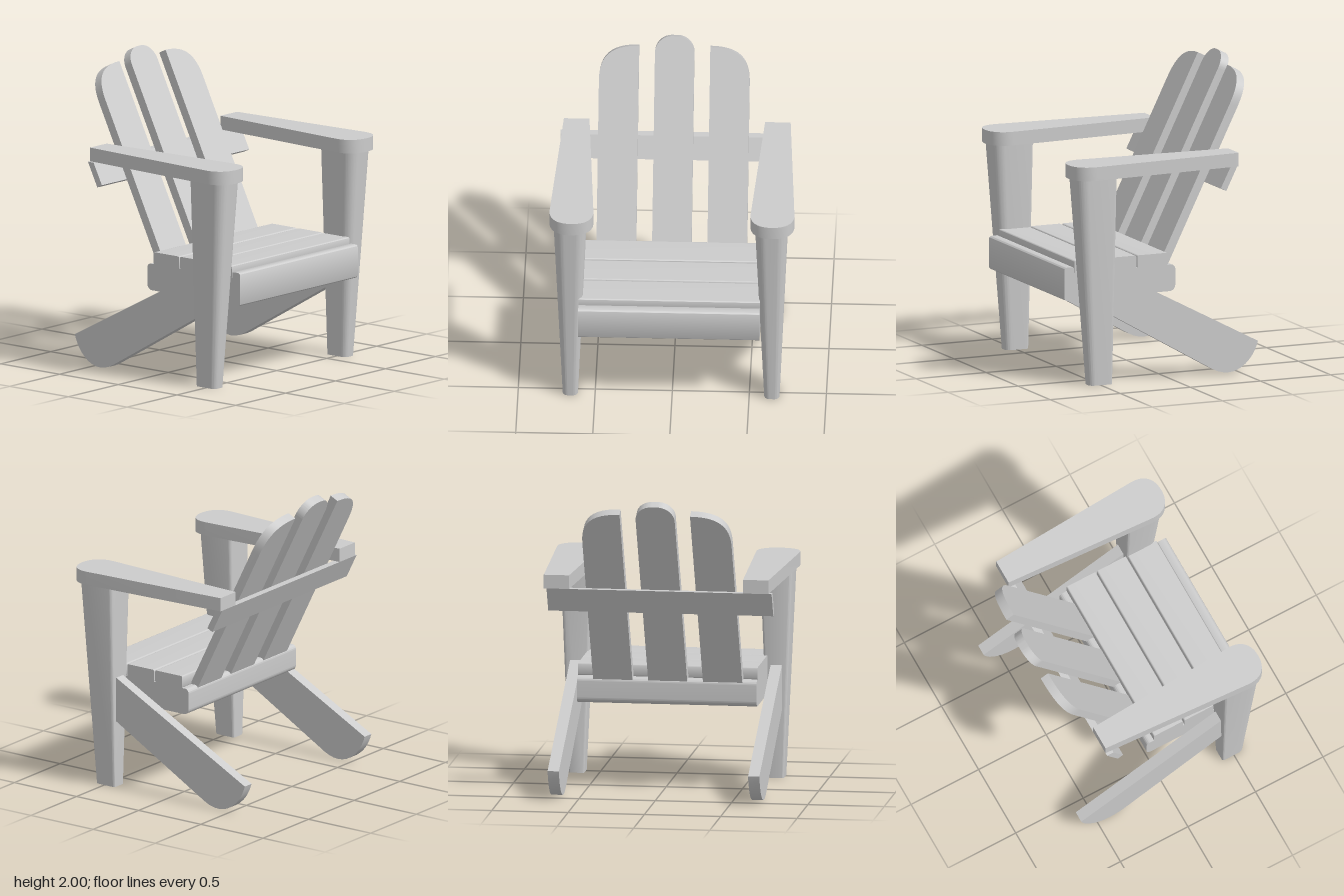
import * as THREE from 'three';
import { toCreasedNormals } from 'three/addons/utils/BufferGeometryUtils.js';

const material = new THREE.MeshStandardMaterial({ color: 0xcccccc });

function extrude(shape, depth) {
  return new THREE.ExtrudeGeometry(shape, { depth, bevelEnabled: false, curveSegments: 12 });
}

// Rectangle from (x0, y0) to (x1, y1); radii: [x0y0, x1y0, x1y1, x0y1]
function roundedRect(x0, y0, x1, y1, [a, b, c, d]) {
  const s = new THREE.Shape();
  s.moveTo(x0 + a, y0);
  s.lineTo(x1 - b, y0);
  if (b) s.absarc(x1 - b, y0 + b, b, -Math.PI / 2, 0);
  s.lineTo(x1, y1 - c);
  if (c) s.absarc(x1 - c, y1 - c, c, 0, Math.PI / 2);
  s.lineTo(x0 + d, y1);
  if (d) s.absarc(x0 + d, y1 - d, d, Math.PI / 2, Math.PI);
  s.lineTo(x0, y0 + a);
  if (a) s.absarc(x0 + a, y0 + a, a, Math.PI, Math.PI * 1.5);
  return s;
}

// Extrude a (z, y) side profile between two x positions
function sideProfile(shape, x0, x1) {
  return extrude(shape, x1 - x0).rotateY(-Math.PI / 2).translate(x1, 0, 0);
}

export function createModel() {
  const root = new THREE.Group();
  const add = (name, geometry, parent = root) => {
    const mesh = new THREE.Mesh(toCreasedNormals(geometry, 0.5), material);
    mesh.name = name;
    parent.add(mesh);
    return mesh;
  };

  // Seat: solid base, three slats and a front board
  const seatL = -0.605, seatR = 0.572;
  add('seatBase', sideProfile(roundedRect(-0.088, 0.555, 0.64, 0.73, [0.04, 0, 0, 0.03]), seatL, seatR));
  for (let i = 0; i < 3; i++) {
    const z = -0.035 + i * 0.225;
    add('seatSlat', sideProfile(roundedRect(z, 0.728, z + 0.216, 0.81, [0.01, 0.01, 0.01, 0.01]), seatL, seatR));
  }
  add('seatFrontBoard', sideProfile(roundedRect(0.635, 0.55, 0.703, 0.77, [0.012, 0.02, 0.02, 0.012]), seatL, seatR));

  // Backrest: slats leaning backwards
  const backrest = new THREE.Group();
  backrest.name = 'backrest';
  backrest.position.set(-0.022, 0.75, -0.035);
  backrest.rotation.x = -0.461;
  root.add(backrest);

  const center = roundedRect(-0.128, -0.03, 0.128, 1.395, [0, 0, 0.11, 0.11]);
  add('backSlatCenter', extrude(center, 0.06).translate(0, 0, -0.06), backrest);

  for (const side of [-1, 1]) {
    const inner = side * 0.231, outer = side * 0.489;
    const s = new THREE.Shape();
    s.moveTo(inner, -0.03);
    s.lineTo(outer, -0.03);
    s.lineTo(outer, 1.1);
    s.bezierCurveTo(outer, 1.25, side * 0.42, 1.328, inner, 1.328);
    s.closePath();
    add('backSlatOuter', extrude(s, 0.06).translate(0, 0, -0.06), backrest);
  }

  // Cross rail behind the slats, level on top
  const rail = new THREE.Shape();
  rail.moveTo(-0.465, 1.375);
  rail.lineTo(-0.385, 1.215);
  rail.lineTo(-0.346, 1.235);
  rail.lineTo(-0.417, 1.375);
  rail.closePath();
  add('backRail', sideProfile(rail, -0.757, 0.718));

  for (const side of [-1, 1]) {
    // Armrest: widens to a rounded front
    const arm = new THREE.Shape();
    arm.moveTo(side * 0.57, -0.465);
    arm.lineTo(side * 0.736, -0.465);
    arm.lineTo(side * 0.795, 0.57);
    arm.bezierCurveTo(side * 0.797, 0.66, side * 0.745, 0.712, side * 0.652, 0.712);
    arm.bezierCurveTo(side * 0.559, 0.712, side * 0.507, 0.66, side * 0.51, 0.57);
    arm.closePath();
    add('armrest', extrude(arm, 0.09).rotateX(Math.PI / 2).translate(0, 1.465, 0));

    // Front leg: rounded section tapering to the floor
    const section = roundedRect(-0.106, 0, 0.106, 0.275, [0.025, 0.025, 0.07, 0.07]);
    const leg = extrude(section, 1.377).rotateX(Math.PI / 2).translate(0, 1.377, 0);
    const p = leg.attributes.position;
    for (let i = 0; i < p.count; i++) {
      const t = p.getY(i) / 1.377;
      p.setX(i, p.getX(i) * THREE.MathUtils.lerp(0.47, 1, t) - 0.007 + side * 0.654);
      p.setZ(i, p.getZ(i) * THREE.MathUtils.lerp(0.58, 1, t) + THREE.MathUtils.lerp(0.416, 0.404, t));
    }
    add('frontLeg', leg);

    // Rear leg: sloping board with a curved foot
    const rear = new THREE.Shape();
    rear.moveTo(0.46, 0.772);
    rear.lineTo(-0.625, 0.2);
    rear.bezierCurveTo(-0.59, 0.07, -0.46, -0.05, -0.3, 0.04);
    rear.lineTo(0.46, 0.478);
    rear.closePath();
    const x = side * 0.657 - 0.006;
    add('rearLeg', sideProfile(rear, x - 0.037, x + 0.037));
  }

  return root;
}
